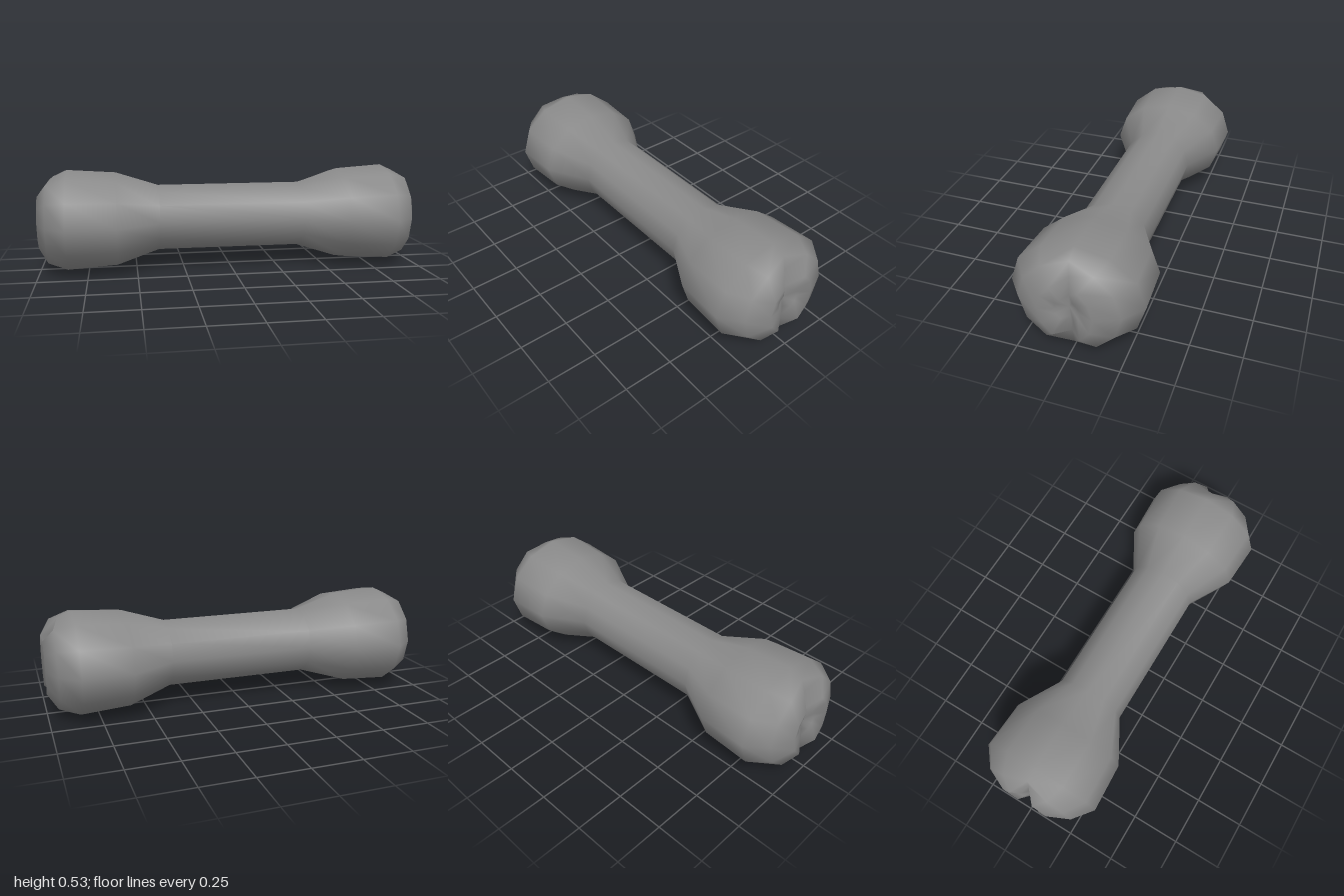
import * as THREE from 'three';

const SIDES = 12;
const CENTER_Y = 0.263;

// Half profile from shaft to tip: [x, radius in y, radius in z]
const HALF = [
  [0.38, 0.175, 0.184],
  [0.6, 0.246, 0.31],
  [0.85, 0.263, 0.323],
  [0.95, 0.232, 0.243],
  [1.0, 0.155, 0.13],
  [0.975, 0.06, 0.06],
];

// Pulls the end faces in along z = 0, so each end splits into two knuckles
function notch(x, z, r) {
  const limit = 0.945 - 0.12 * r + 1.2 * Math.abs(z);
  return Math.sign(x) * Math.min(Math.abs(x), limit);
}

function boneGeometry() {
  const rings = [...HALF.map(([x, ry, rz]) => [-x, ry, rz]).reverse(), ...HALF];
  const positions = [];
  const index = [];

  // Cross-sections along x
  for (const [x, ry, rz] of rings) {
    for (let i = 0; i < SIDES; i++) {
      const a = (i / SIDES) * Math.PI * 2;
      const y = Math.cos(a) * ry;
      const z = Math.sin(a) * rz;
      positions.push(notch(x, z, ry), CENTER_Y + y, z);
    }
  }
  for (let r = 0; r < rings.length - 1; r++) {
    for (let i = 0; i < SIDES; i++) {
      const j = (i + 1) % SIDES;
      const a = r * SIDES + i, b = r * SIDES + j;
      const c = a + SIDES, d = b + SIDES;
      index.push(a, b, d, a, d, c);
    }
  }

  // Dimpled end centres
  const first = positions.length / 3;
  positions.push(-0.94, CENTER_Y, 0, 0.94, CENTER_Y, 0);
  const last = (rings.length - 1) * SIDES;
  for (let i = 0; i < SIDES; i++) {
    const j = (i + 1) % SIDES;
    index.push(first, j, i, first + 1, last + i, last + j);
  }

  const geometry = new THREE.BufferGeometry();
  geometry.setAttribute('position', new THREE.Float32BufferAttribute(positions, 3));
  geometry.setIndex(index);
  geometry.computeVertexNormals();
  return geometry;
}

export function createModel() {
  const group = new THREE.Group();
  group.name = 'bone';
  const body = new THREE.Mesh(
    boneGeometry(),
    new THREE.MeshStandardMaterial({ color: 0x8a8a8a })
  );
  body.name = 'boneBody';
  group.add(body);
  return group;
}
